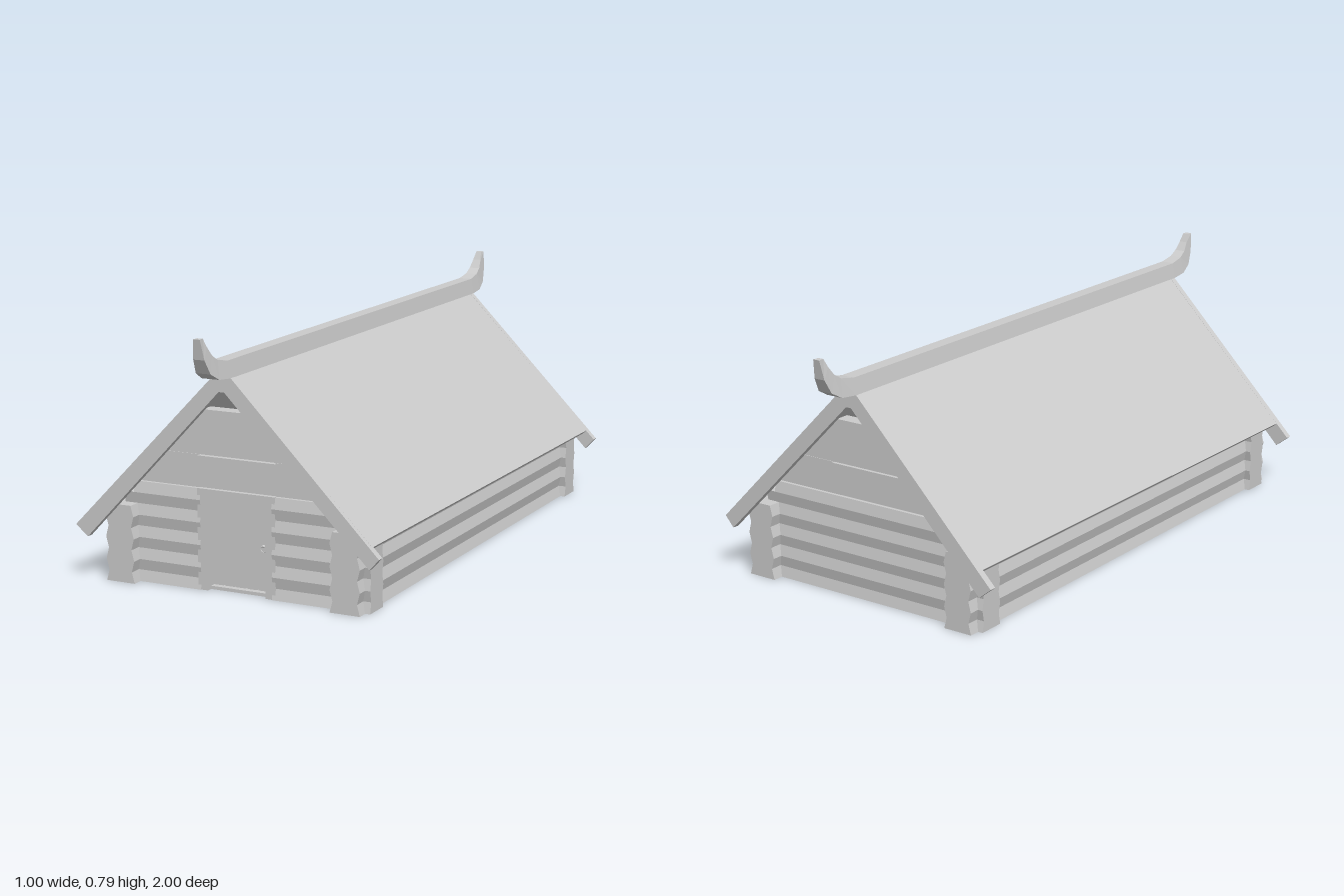
import * as THREE from 'three';

const mat = new THREE.MeshStandardMaterial({ color: 0xcccccc, flatShading: true, side: THREE.DoubleSide });
const CX = 0.007;      // centre of the log house in x
const STEP = 0.034;    // height of half a log

function add(parent, geo, name, x = 0, y = 0, z = 0) {
  const m = new THREE.Mesh(geo, mat);
  m.name = name;
  m.position.set(x, y, z);
  parent.add(m);
  return m;
}

function box(parent, name, x0, x1, y0, y1, z0, z1) {
  return add(parent, new THREE.BoxGeometry(x1 - x0, y1 - y0, z1 - z0), name,
    (x0 + x1) / 2, (y0 + y1) / 2, (z0 + z1) / 2);
}

// extrudes an outline in x/y, centred on its depth
function prism(points, depth) {
  const shape = new THREE.Shape(points.map(p => new THREE.Vector2(...p)));
  return new THREE.ExtrudeGeometry(shape, { depth, bevelEnabled: false }).translate(0, 0, -depth / 2);
}

// stacked-log section: widest at even steps, narrow at odd steps
function logs(from, to, wide, narrow, length) {
  const right = [], left = [];
  for (let i = from; i <= to; i++) {
    const w = i % 2 ? narrow : wide;
    right.push([w, i * STEP]);
    left.unshift([-w, i * STEP]);
  }
  return prism([...right, ...left], length);
}

// log run along x between two ends
function endLogs(parent, from, to, x0, x1, z) {
  const geo = logs(from, to, 0.043, 0.036, x1 - x0).rotateY(Math.PI / 2);
  add(parent, geo, 'endWallLogs', (x0 + x1) / 2, 0, z);
}

function buildEndWall(parent, side, doorway) {
  const z = side * 0.763;
  const wall = new THREE.Group();
  wall.name = side > 0 ? 'frontWall' : 'backWall';
  parent.add(wall);
  // lower logs run full width, upper ones shorten under the roof
  for (const [from, to] of [[0, 6], [6, 7], [7, 8], [8, 9]]) {
    const half = Math.min(0.437, 0.648 - to * STEP);
    if (doorway) {
      endLogs(wall, from, to, CX - half, -0.11, z);
      endLogs(wall, from, to, 0.127, CX + half, z);
    } else endLogs(wall, from, to, CX - half, CX + half, z);
  }
  // gable boards, with a thin slot between them
  const w = y => (0.652 - y) / 1.02;
  const lower = [[-w(0.304), 0.304], [w(0.304), 0.304], [w(0.405), 0.405], [0.13, 0.405],
    [0.13, 0.401], [-0.13, 0.401], [-0.13, 0.405], [-w(0.405), 0.405]];
  const upper = [[-w(0.405), 0.405], [w(0.405), 0.405], [w(0.54), 0.54], [-w(0.54), 0.54]];
  add(wall, prism(lower, 0.05), 'lowerGableBoard', 0.003, 0, z);
  add(wall, prism(upper, 0.046), 'upperGableBoard', 0.003, 0, z);
}

function buildDoor(parent) {
  const door = new THREE.Group();
  door.name = 'door';
  parent.add(door);
  box(door, 'doorPost', -0.12, -0.088, 0, 0.278, 0.72, 0.803);
  box(door, 'doorPost', 0.105, 0.137, 0, 0.278, 0.72, 0.803);
  box(door, 'lintel', -0.12, 0.137, 0.278, 0.307, 0.72, 0.803);
  box(door, 'threshold', -0.088, 0.105, 0, 0.01, 0.72, 0.785);
  for (let i = 0; i < 5; i++) {
    const x = -0.084 + i * 0.0375;
    box(door, 'doorPlank', x, x + 0.033, 0.013, 0.275, 0.76, 0.775);
  }
  for (const y of [0.05, 0.145, 0.23]) box(door, 'doorRail', -0.088, 0.105, y - 0.012, y + 0.012, 0.745, 0.762);
  add(door, new THREE.TorusGeometry(0.009, 0.002, 6, 14), 'handleRing', 0.085, 0.14, 0.778);
  add(door, new THREE.SphereGeometry(0.005, 8, 6), 'handleKnob', 0.085, 0.149, 0.777);
}

// ridge beam with upswept horns, lofted from four-cornered sections
function ridgeGeometry() {
  // z, y of lower edge; z, y of upper edge; half widths
  const half = [
    [0.865, 0.657, 0.865, 0.708, 0.031, 0.022],
    [0.925, 0.663, 0.917, 0.718, 0.029, 0.02],
    [0.965, 0.685, 0.945, 0.735, 0.024, 0.018],
    [0.988, 0.728, 0.966, 0.762, 0.018, 0.014],
    [1.0, 0.788, 0.98, 0.788, 0.011, 0.009],
  ];
  const rows = [...half.map(r => [-r[0], r[1], -r[2], ...r.slice(3)]).reverse(), ...half];
  const pos = [], idx = [];
  for (const [zl, yl, zu, yu, wl, wu] of rows)
    pos.push(-wl, yl, zl, wl, yl, zl, wu, yu, zu, -wu, yu, zu);
  const last = (rows.length - 1) * 4;
  for (let r = 0; r < last; r += 4)
    for (let k = 0; k < 4; k++) {
      const a = r + k, b = r + (k + 1) % 4;
      idx.push(a, b, b + 4, a, b + 4, a + 4);
    }
  idx.push(0, 2, 1, 0, 3, 2, last, last + 1, last + 2, last, last + 2, last + 3);
  const geo = new THREE.BufferGeometry();
  geo.setAttribute('position', new THREE.Float32BufferAttribute(pos, 3));
  geo.setIndex(idx);
  geo.computeVertexNormals();
  return geo;
}

function buildRoof(parent) {
  const roof = new THREE.Group();
  roof.name = 'roof';
  parent.add(roof);
  const panels = [[-0.46, 0.212], [-0.448, 0.2], [0.002, 0.66], [0.46, 0.199], [0.472, 0.211], [0.002, 0.687]];
  add(roof, prism(panels, 1.7), 'roofPanels');
  // barge boards on both gables
  const barge = [[-0.503, 0.168], [-0.462, 0.135], [-0.008, 0.614], [0.01, 0.614],
    [0.47, 0.148], [0.5, 0.182], [0.002, 0.688]];
  for (const s of [1, -1]) add(roof, prism(barge, 0.022), 'bargeBoards', 0, 0, s * 0.854);
  add(roof, ridgeGeometry(), 'ridgeBeam', 0.001);
}

export function createModel() {
  const house = new THREE.Group();
  house.name = 'logHouse';
  for (const s of [1, -1])
    add(house, logs(0, 7, 0.048, 0.039, 1.68), 'sideWallLogs', CX + s * 0.373, 0, 0);
  buildEndWall(house, 1, true);
  buildEndWall(house, -1, false);
  box(house, 'floor', CX - 0.37, CX + 0.37, 0, 0.008, -0.76, 0.76);
  buildDoor(house);
  buildRoof(house);
  return house;
}
